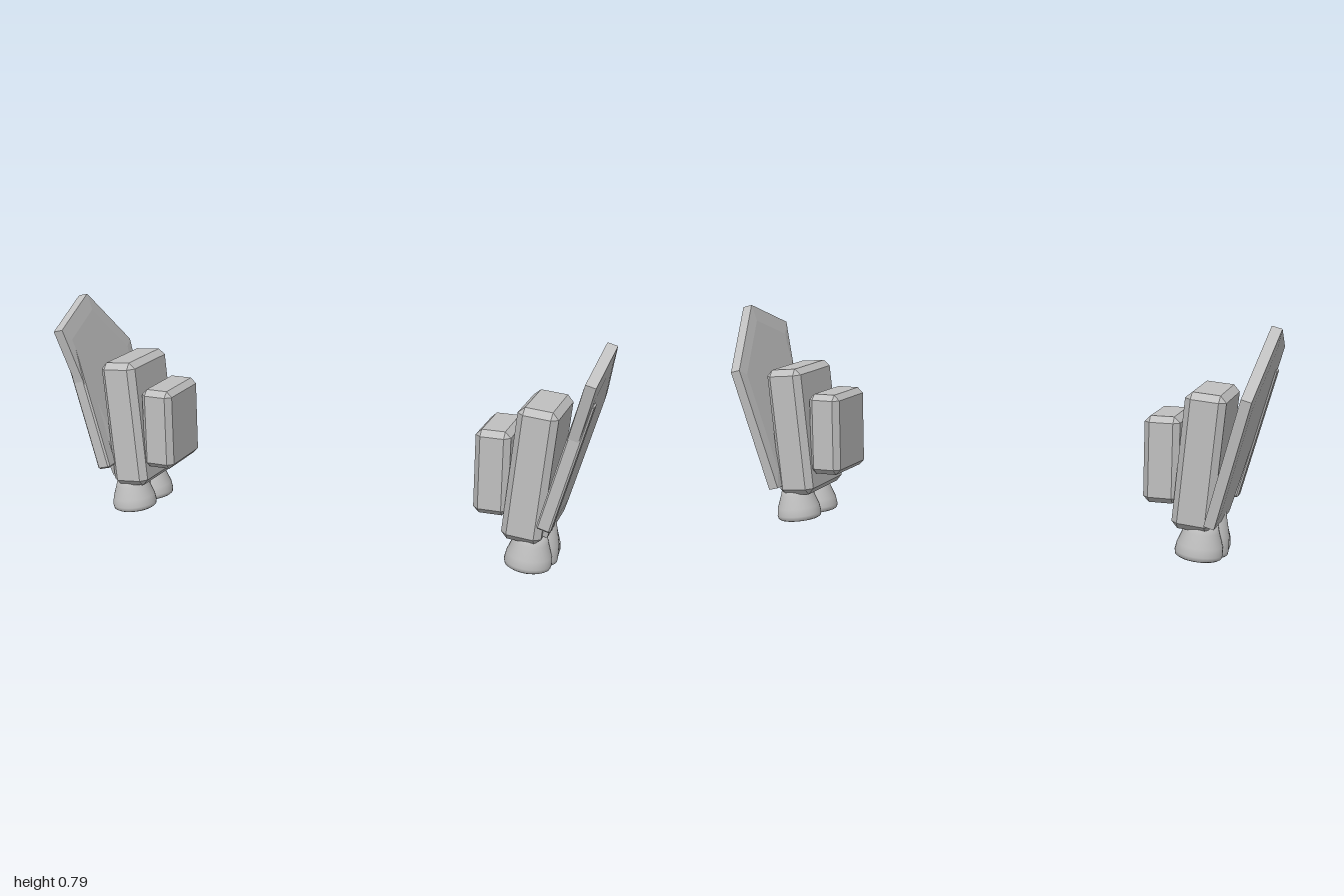
import * as THREE from 'three';
import { ConvexGeometry } from 'three/addons/geometries/ConvexGeometry.js';

const grey = new THREE.MeshStandardMaterial({ color: 0xc0c0c0 });
grey.name = 'armour grey';

function add(parent, name, geometry, x = 0, y = 0, z = 0) {
  const mesh = new THREE.Mesh(geometry, grey);
  mesh.name = name;
  mesh.position.set(x, y, z);
  parent.add(mesh);
  return mesh;
}

// Box with every edge cut at an angle
function chamferBox(w, h, d, c) {
  const points = [];
  for (const i of [-1, 1]) for (const j of [-1, 1]) for (const k of [-1, 1]) {
    const x = i * w / 2, y = j * h / 2, z = k * d / 2;
    points.push(
      new THREE.Vector3(x, y - j * c, z - k * c),
      new THREE.Vector3(x - i * c, y, z - k * c),
      new THREE.Vector3(x - i * c, y - j * c, z));
  }
  return new ConvexGeometry(points);
}

// Five-cornered plate, slightly thicker at its middle
function shieldPlate(tilt) {
  const outline = [[0.21, 0.70], [-0.01, 0.785], [-0.21, 0.57], [-0.165, 0.135], [0.10, 0.135]];
  const points = [];
  for (const [z, y] of outline) for (const s of [-1, 1]) {
    const v = (y - 0.46) / Math.cos(tilt);
    points.push(
      new THREE.Vector3(s * 0.018, v, z),
      new THREE.Vector3(s * 0.022, v * 0.82, z * 0.82));
  }
  return new ConvexGeometry(points);
}

// Flared nozzle standing on y = 0
function nozzle(bottom, top, height) {
  const profile = [
    [0, 0], [bottom * 0.88, 0], [bottom * 0.97, 0.005], [bottom, 0.018],
    [bottom * 0.95, height * 0.35], [top + (bottom - top) * 0.35, height * 0.7],
    [top, height], [0, height],
  ].map(([r, y]) => new THREE.Vector2(r, y));
  return new THREE.LatheGeometry(profile, 32);
}

function buildSide(s) {
  const side = new THREE.Group();
  side.name = s > 0 ? 'leftPod' : 'rightPod';

  // Upright inner block
  add(side, 'innerBlock', chamferBox(0.12, 0.295, 0.235, 0.02), s * 0.625, 0.337, 0.005);

  // Main block with its nozzles, leaning outward
  const body = new THREE.Group();
  body.name = 'podBody';
  body.position.set(s * 0.755, 0.342, 0);
  body.rotation.z = -s * THREE.MathUtils.degToRad(5);
  side.add(body);
  add(body, 'mainBlock', chamferBox(0.137, 0.465, 0.274, 0.022)).rotation.x = -0.015;
  for (const z of [0.069, -0.065]) {
    add(body, 'endNozzle', nozzle(0.081, 0.05, 0.13), s * 0.026, -0.332, z);
  }
  add(body, 'middleNozzle', nozzle(0.062, 0.03, 0.2), s * 0.052, -0.334, 0);

  // Outer shield and its edge bar, leaning further outward
  const tilt = THREE.MathUtils.degToRad(15);
  const shield = new THREE.Group();
  shield.name = 'shieldAssembly';
  shield.position.set(s * 0.891, 0.46, 0);
  shield.rotation.z = -s * tilt;
  side.add(shield);
  add(shield, 'shield', shieldPlate(tilt));
  add(shield, 'edgeBar', chamferBox(0.05, 0.465, 0.052, 0.006), s * 0.003, -0.055, 0.146);
  return side;
}

export function createModel() {
  const model = new THREE.Group();
  model.name = 'shieldedPods';
  model.add(buildSide(1), buildSide(-1));
  return model;
}
